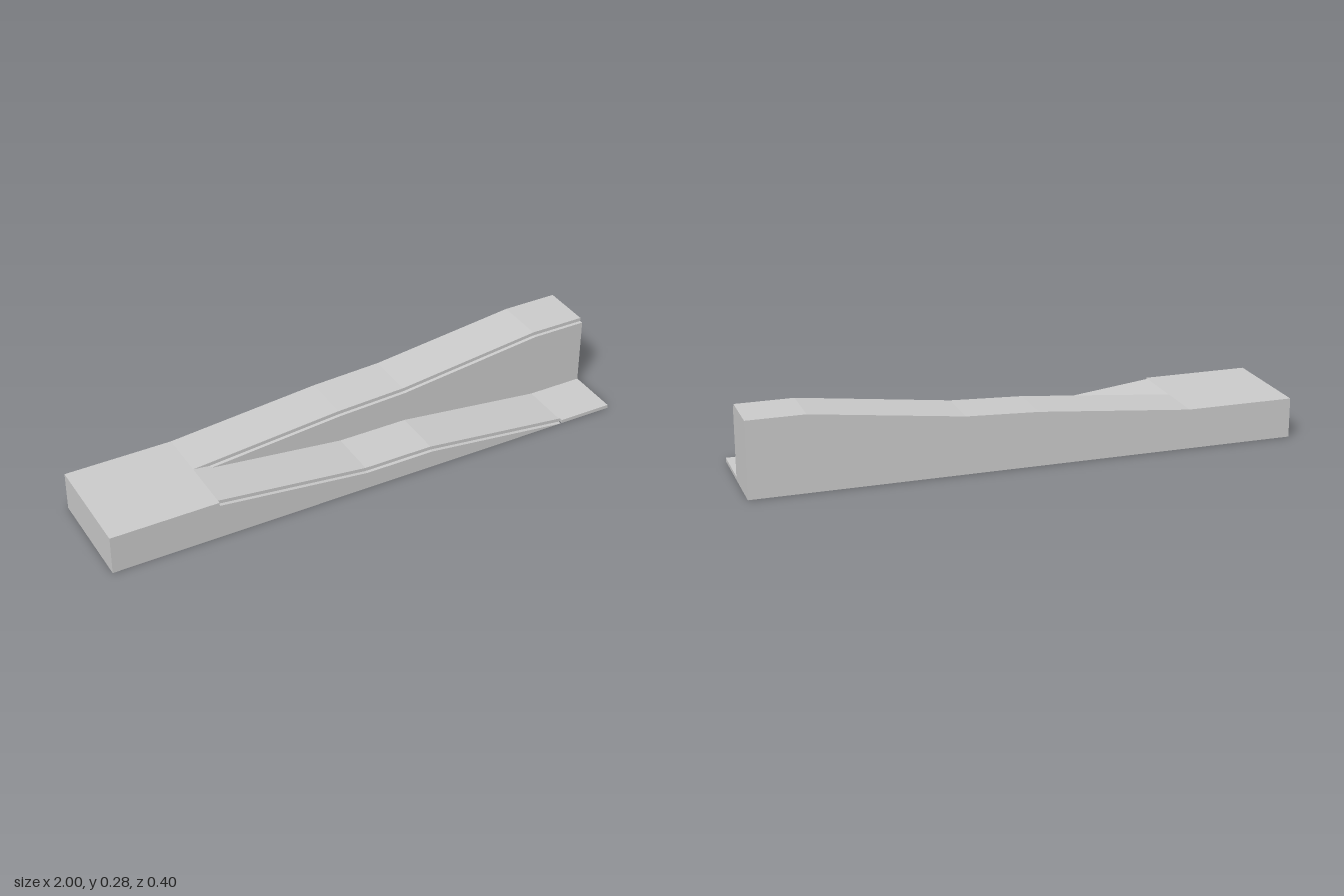
import * as THREE from 'three';

const STEP = 0.0133; // depth and width of the small rebates
const LOW = 0.147; // height of the flat landing

// Two ramps leave the landing: one climbs, the other drops
const rising = [[-0.6, LOW], [-0.03, 0.2], [0.235, 0.212], [0.79, 0.28], [1, 0.28]];
const falling = [[-0.6, LOW], [-0.03, 0.08], [0.235, 0.08], [0.79, STEP], [1, STEP]];
const lowered = (points) => points.map(([x, y]) => [x, y - STEP]);

export function createModel() {
  const model = new THREE.Group();
  const material = new THREE.MeshStandardMaterial({ color: 0xcccccc, flatShading: true });

  // Extrudes the area below a top line (left to right) between two z positions
  function slab(name, top, zBack, zFront) {
    const shape = new THREE.Shape();
    shape.moveTo(top[0][0], 0);
    top.forEach(([x, y]) => shape.lineTo(x, y));
    const lastPoint = top[top.length - 1];
    if (lastPoint[1] > 0) shape.lineTo(lastPoint[0], 0);
    shape.closePath();
    const geometry = new THREE.ExtrudeGeometry(shape, { depth: zFront - zBack, bevelEnabled: false });
    geometry.translate(0, 0, zBack);
    const mesh = new THREE.Mesh(geometry, material);
    mesh.name = name;
    model.add(mesh);
  }

  const start = [-1, LOW];

  // Climbing ramp on the rear half
  slab('risingRamp', [start, ...rising], -0.2, -STEP);

  // Narrow ledge along the climbing ramp, emerging from the lower deck
  const ledgeStart = [-0.538, 0.1397];
  slab('risingRampLedge', [start, [-0.6, LOW], ledgeStart, ...lowered(rising).slice(1)], -STEP, 0);

  // Descending ramp on the front half
  slab('fallingRamp', [start, ...falling], 0, 0.2 - STEP);

  // Rebated front edge of the descending ramp
  slab('fallingRampEdge', [start, [-0.6, LOW], ...lowered(falling).slice(0, 4)], 0.2 - STEP, 0.2);

  // Full-height front edge of the bottom landing
  slab('bottomLandingEdge', [[0.795, STEP], [1, STEP]], 0.2 - STEP, 0.2);

  return model;
}
